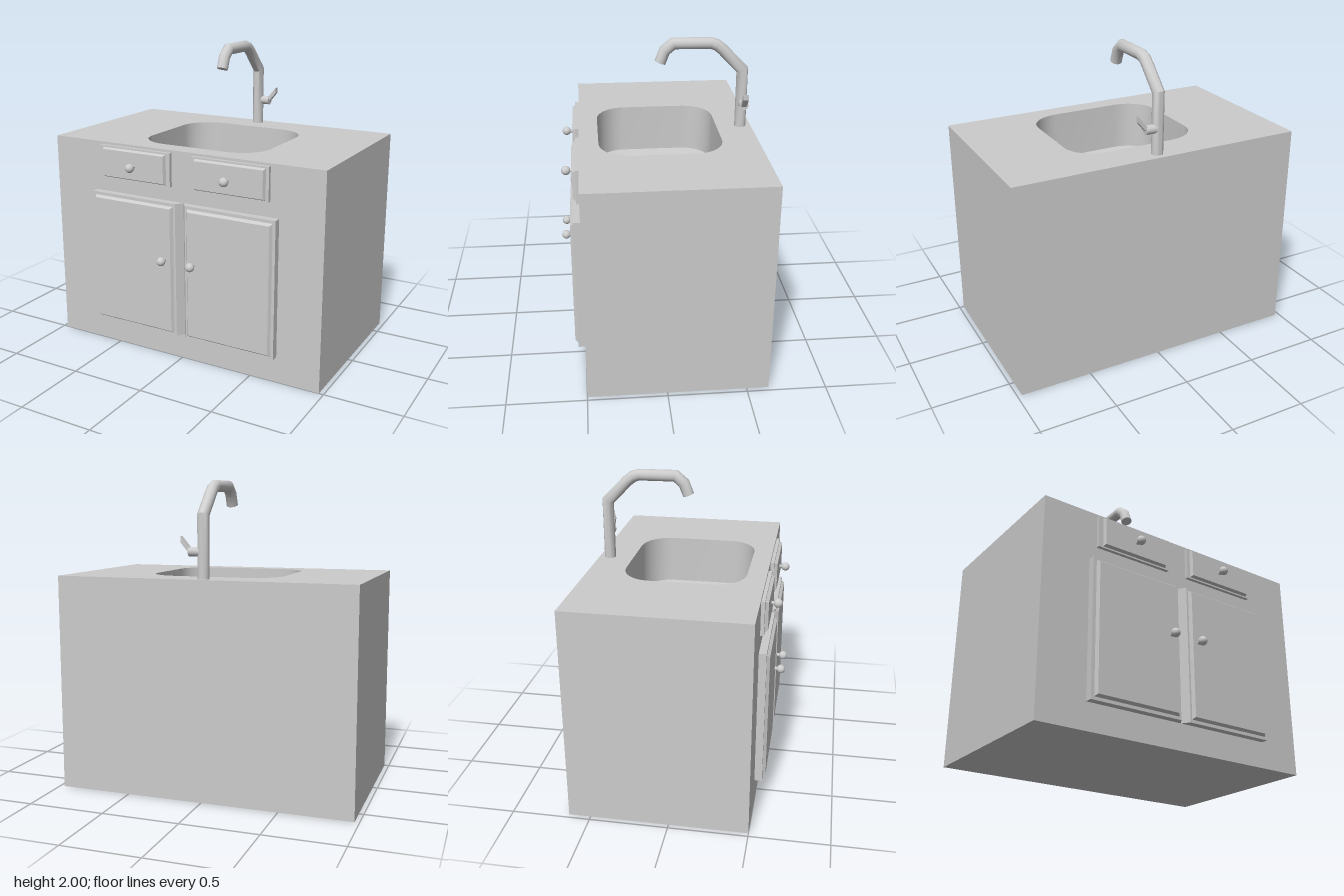
import * as THREE from 'three';
import { toCreasedNormals } from 'three/addons/utils/BufferGeometryUtils.js';

const material = new THREE.MeshStandardMaterial({ color: 0xcccccc });
const thin = new THREE.MeshStandardMaterial({ color: 0xcccccc, side: THREE.DoubleSide });

const V = (x, y, z) => new THREE.Vector3(x, y, z);

function add(parent, name, geometry, x = 0, y = 0, z = 0, mat = material) {
  const mesh = new THREE.Mesh(geometry, mat);
  mesh.name = name;
  mesh.position.set(x, y, z);
  parent.add(mesh);
  return mesh;
}

// Skin over a list of closed rings with equal point counts
function loft(rings, crease = 0.6) {
  const pos = [];
  const tri = (a, b, c) => {
    if (a.distanceTo(b) < 1e-6 || b.distanceTo(c) < 1e-6 || c.distanceTo(a) < 1e-6) return;
    for (const p of [a, b, c]) pos.push(p.x, p.y, p.z);
  };
  for (let i = 0; i + 1 < rings.length; i++) {
    const r0 = rings[i], r1 = rings[i + 1], n = r0.length;
    for (let j = 0; j < n; j++) {
      const k = (j + 1) % n;
      tri(r0[j], r0[k], r1[k]);
      tri(r0[j], r1[k], r1[j]);
    }
  }
  const geo = new THREE.BufferGeometry();
  geo.setAttribute('position', new THREE.Float32BufferAttribute(pos, 3));
  return toCreasedNormals(geo, crease);
}

// Rounded rectangle, counter-clockwise seen from above
function roundedRing(cx, y, cz, hw, hd) {
  const pts = [], corner = 0.48, steps = 8;
  for (const [sx, sz, start] of [[1, 1, 0], [-1, 1, 1], [-1, -1, 2], [1, -1, 3]]) {
    for (let i = 0; i <= steps; i++) {
      const a = (start + i / steps) * Math.PI / 2;
      pts.push(V(cx + hw * (sx * (1 - corner) + corner * Math.cos(a)), y,
        cz - hd * (sz * (1 - corner) + corner * Math.sin(a))));
    }
  }
  return pts;
}

// Box whose front face is inset on the left, right, and top/bottom edges
function slab(parent, name, [x0, x1], [y0, y1], [z0, z1], inL = 0, inR = 0, inY = 0) {
  const geo = new THREE.BoxGeometry(1, 1, 1).toNonIndexed();
  const p = geo.attributes.position;
  for (let i = 0; i < p.count; i++) {
    const f = p.getZ(i) > 0 ? 1 : 0;
    p.setXYZ(i, p.getX(i) < 0 ? x0 + f * inL : x1 - f * inR,
      p.getY(i) < 0 ? y0 + f * inY : y1 - f * inY, f ? z1 : z0);
  }
  geo.computeVertexNormals();
  return add(parent, name, geo);
}

function knob(parent, x, y, z) {
  const stem = new THREE.CylinderGeometry(0.012, 0.012, 0.05, 16).rotateX(Math.PI / 2);
  add(parent, 'knobStem', stem, x, y, z - 0.035);
  add(parent, 'knobBall', new THREE.SphereGeometry(0.029, 24, 16), x, y, z);
}

function group(parent, name) {
  const g = new THREE.Group();
  g.name = name;
  parent.add(g);
  return g;
}

export function createModel() {
  const model = new THREE.Group();
  model.name = 'sinkCabinet';

  // Cabinet box without its top face
  const box = new THREE.BoxGeometry(1.94, 1.4, 1.14);
  box.setIndex([...box.index.array].filter((_, i) => i < 12 || i >= 18));
  box.clearGroups();
  add(model, 'cabinet', box, 0, 0.7, -0.07, thin);

  // Countertop with the basin opening
  const rim = roundedRing(0.025, 1.4, -0.018, 0.435, 0.393);
  const top = new THREE.Shape([[-0.97, -0.5], [0.97, -0.5], [0.97, 0.64], [-0.97, 0.64]]
    .map(([x, y]) => new THREE.Vector2(x, y)));
  top.holes.push(new THREE.Path(rim.map(p => new THREE.Vector2(p.x, -p.z))));
  add(model, 'countertop', new THREE.ShapeGeometry(top).rotateX(-Math.PI / 2), 0, 1.4, 0, thin);

  // Basin: straight walls, floor sloping to a small drain
  const floor = rim.map(p => V(p.x, 1.08, p.z));
  const drain = roundedRing(0.02, 1.02, -0.025, 0.06, 0.055);
  const sump = drain.map(p => V(p.x, 1.005, p.z));
  const centre = sump.map(() => V(0.02, 1.005, -0.025));
  add(model, 'basin', loft([rim, floor, drain, sump, centre]), 0, 0, 0, thin);

  // Drawers
  const drawers = [
    { name: 'rightDrawer', x: [-0.6, -0.065], panel: [-0.568, -0.093], knob: -0.325 },
    { name: 'leftDrawer', x: [0.09, 0.62], panel: [0.113, 0.6], knob: 0.352 },
  ];
  for (const d of drawers) {
    const g = group(model, d.name);
    slab(g, 'drawerFront', d.x, [1.165, 1.383], [0.5, 0.523]);
    slab(g, 'drawerPanel', d.panel, [1.175, 1.372], [0.523, 0.543], 0.01, 0.01, 0.01);
    knob(g, d.knob, 1.27, 0.585);
  }

  // Doors, sloping back to a V groove where they meet
  const doors = [
    { name: 'rightDoor', x: [-0.65, 0.02], inL: 0, inR: 0.035, panel: [-0.628, -0.03], knob: -0.088 },
    { name: 'leftDoor', x: [0.02, 0.68], inL: 0.035, inR: 0, panel: [0.068, 0.662], knob: 0.125 },
  ];
  for (const d of doors) {
    const g = group(model, d.name);
    slab(g, 'doorFrame', d.x, [0.17, 1.07], [0.5, 0.548], d.inL, d.inR);
    slab(g, 'doorPanel', d.panel, [0.19, 1.05], [0.548, 0.567], 0.014, 0.014, 0.014);
    knob(g, d.knob, 0.695, 0.608);
  }

  // Faucet: mitred pipe along a bent path of [z, y] points
  const faucet = group(model, 'faucet');
  const path = [[-0.57, 1.4], [-0.57, 1.785], [-0.435, 1.922], [-0.4, 1.95], [-0.36, 1.964],
    [-0.12, 1.966], [-0.065, 1.92], [-0.036, 1.845]].map(p => new THREE.Vector2(...p));
  const rings = path.map((p, i) => {
    const before = p.clone().sub(path[Math.max(i - 1, 0)]).normalize();
    const after = path[Math.min(i + 1, path.length - 1)].clone().sub(p).normalize();
    const t = before.clone().add(after).normalize();
    const r = 0.037, mitre = r / t.dot(after.length() ? after : before);
    return Array.from({ length: 24 }, (_, j) => {
      const a = j / 24 * Math.PI * 2, s = Math.sin(a) * mitre;
      return V(r * Math.cos(a), p.y + s * t.x, p.x - s * t.y);
    });
  });
  const end = path[path.length - 1];
  rings.push(rings[0].map(() => V(0, end.y, end.x)));
  add(faucet, 'spout', loft(rings, 0.7), 0, 0, 0, thin);

  // Side valve and lever
  const valve = new THREE.CylinderGeometry(0.029, 0.029, 0.07, 24).rotateZ(Math.PI / 2);
  add(faucet, 'valve', valve, 0.055, 1.565, -0.575);
  const lever = new THREE.Shape([[0.08, 1.56], [0.09, 1.56], [0.14, 1.62], [0.14, 1.658], [0.08, 1.585]]
    .map(p => new THREE.Vector2(...p)));
  add(faucet, 'lever', new THREE.ExtrudeGeometry(lever, { depth: 0.036, bevelEnabled: false }), 0, 0, -0.594);

  return model;
}
